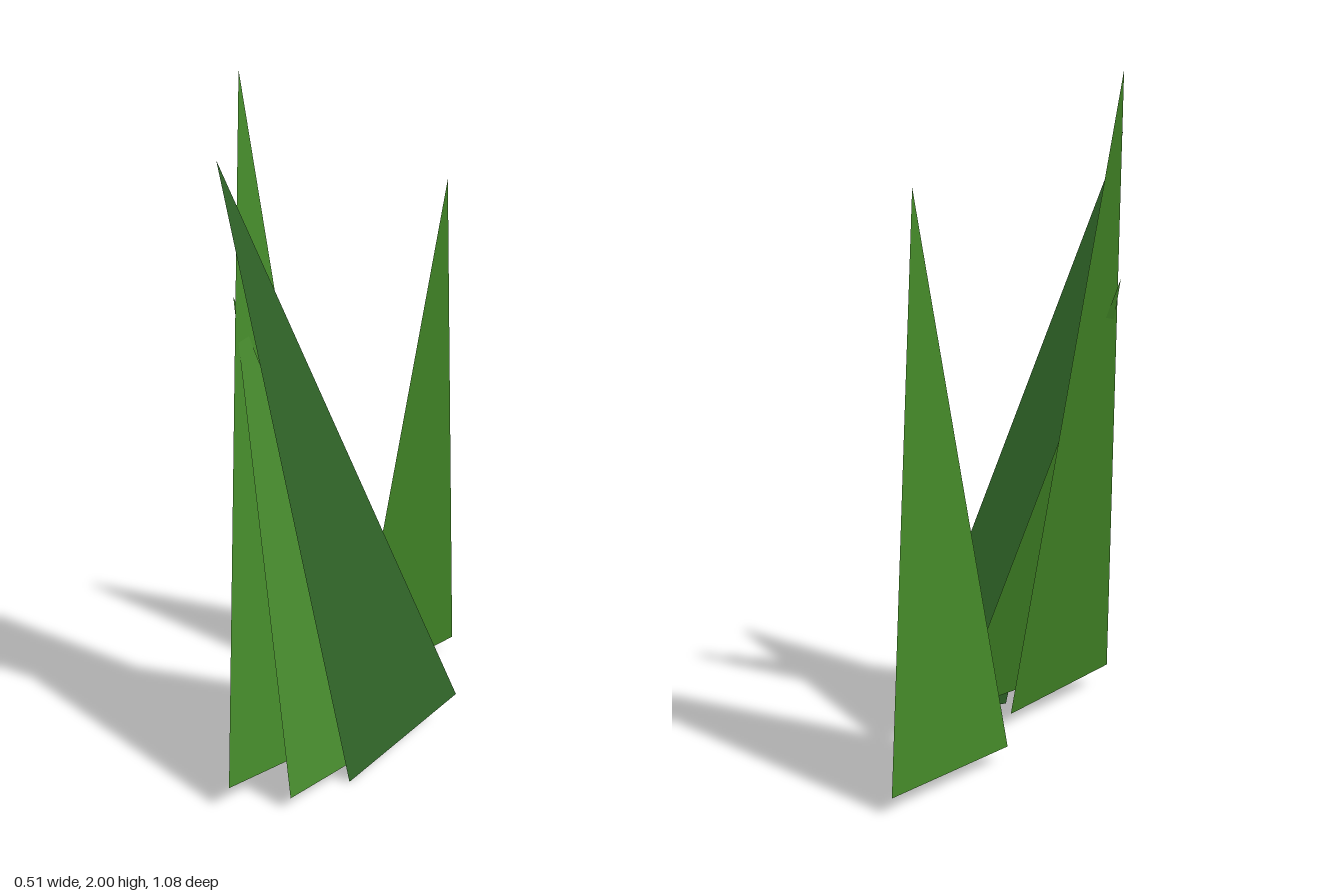
import * as THREE from 'three';

// One flat, pointed blade from its tip and the two ends of its base
function blade(name, material, tip, baseFront, baseBack) {
  const geometry = new THREE.BufferGeometry();
  geometry.setAttribute('position', new THREE.Float32BufferAttribute([...baseFront, ...baseBack, ...tip], 3));
  geometry.computeVertexNormals();
  const mesh = new THREE.Mesh(geometry, material);
  mesh.name = name;
  return mesh;
}

export function createModel() {
  const green = new THREE.MeshStandardMaterial({ color: 0x438827, side: THREE.DoubleSide });
  green.name = 'leaf green';
  const darkGreen = new THREE.MeshStandardMaterial({ color: 0x306628, side: THREE.DoubleSide });
  darkGreen.name = 'dark green';

  const group = new THREE.Group();
  group.name = 'grassTuft';
  group.add(
    // Three blades leaning to the right, crossing one another
    blade('tallBlade', green, [-0.257, 2, 0.14], [0.118, 0.075, 0.54], [0.118, 0.045, 0.085]),
    blade('shortBlade', green, [-0.155, 1.42, 0.26], [0.236, 0.04, 0.41], [0.236, 0.055, -0.04]),
    blade('darkBlade', darkGreen, [-0.056, 1.83, 0.375], [0.255, 0, 0.2], [0.255, 0.105, -0.247]),
    // Separate blade at the back, leaning to the left
    blade('backBlade', green, [0.092, 1.695, -0.31], [-0.043, 0.05, -0.09], [-0.043, 0.05, -0.54]),
  );
  return group;
}
